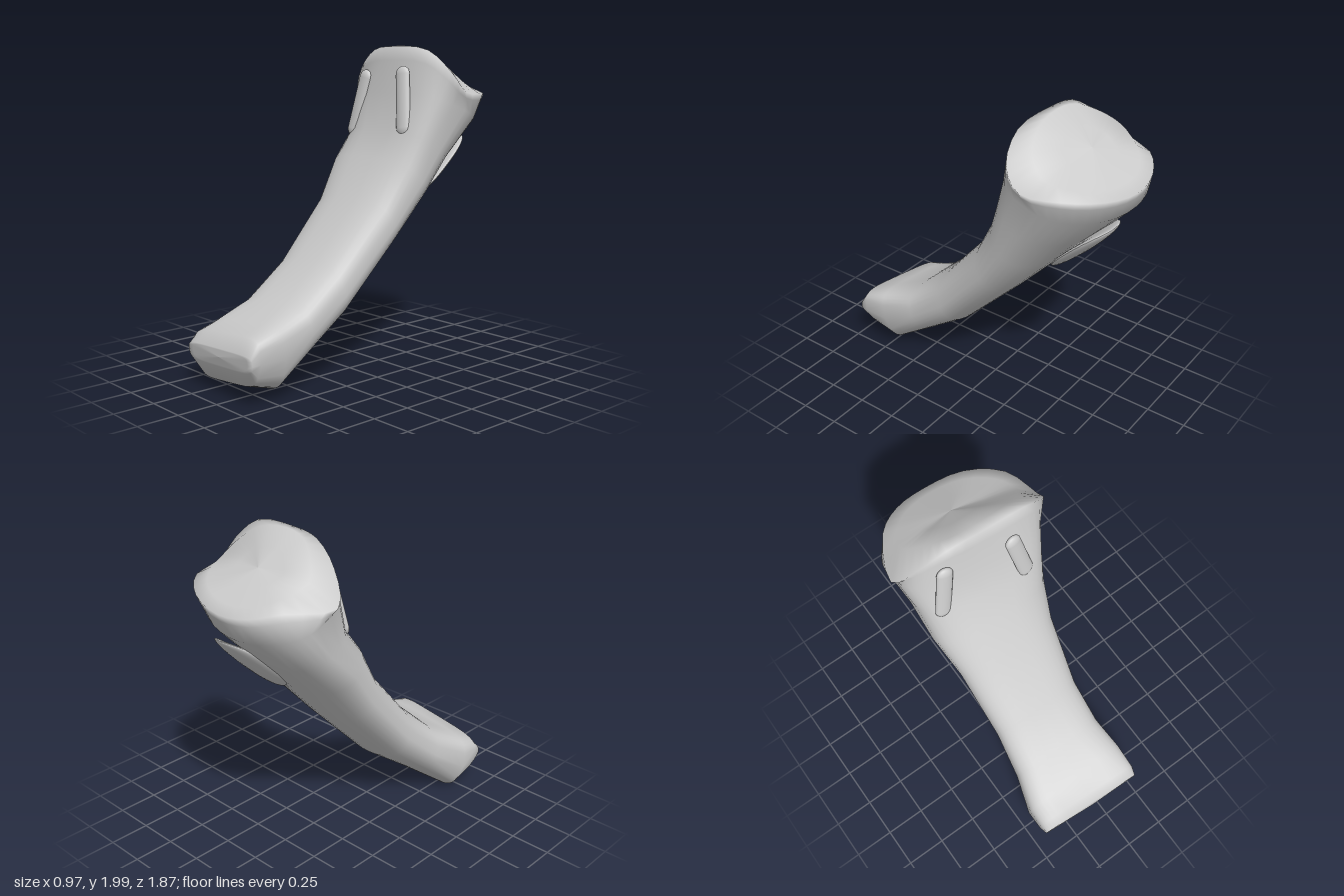
import * as THREE from 'three';

const SIDES = 36;
const material = new THREE.MeshStandardMaterial({ color: 0xcccccc });

// Rounded power used for the superellipse outline
const power = (v, n) => Math.sign(v) * Math.pow(Math.abs(v), 2 / n);

// One cross-section, from its front edge [z, y] to its back edge [z, y]
// taper narrows the back half, roll tilts it in height, yaw pushes one side forward
function ring({ f, b, x, n = 2.6, nb = 1.9, taper = 0, roll = 0, yaw = 0 }) {
  const points = [];
  const cx = (x[0] + x[1]) / 2, hx = (x[1] - x[0]) / 2;
  for (let i = 0; i < SIDES; i++) {
    const t = (i / SIDES) * Math.PI * 2;
    const e = Math.cos(t) >= 0 ? n : nb;
    const a = power(Math.cos(t), e), s = power(Math.sin(t), e);
    const px = cx + s * hx * (1 - taper * Math.max(0, -a));
    points.push(new THREE.Vector3(
      px,
      (f[1] + b[1]) / 2 + a * (f[1] - b[1]) / 2 + roll * px,
      (f[0] + b[0]) / 2 + a * (f[0] - b[0]) / 2 + yaw * px));
  }
  return points;
}

// Closed smooth ring through twelve corners, starting at the front and going to +x
function freeRing(corners) {
  const curve = new THREE.CatmullRomCurve3(corners.map(p => new THREE.Vector3(...p)), true);
  return Array.from({ length: SIDES }, (_, i) => curve.getPoint(i / SIDES));
}

// Copy of a ring drawn in toward a centre
const shrink = (points, center, k) => points.map(p => center.clone().lerp(p, k));

// Skin over a list of rings
function loft(rings) {
  const positions = rings.flat().flatMap(p => p.toArray());
  const index = [];
  for (let i = 0; i < rings.length - 1; i++) {
    for (let j = 0; j < SIDES; j++) {
      const k = (j + 1) % SIDES;
      const a = i * SIDES + j, b = i * SIDES + k;
      index.push(a, b, a + SIDES, b, b + SIDES, a + SIDES);
    }
  }
  const geometry = new THREE.BufferGeometry();
  geometry.setAttribute('position', new THREE.Float32BufferAttribute(positions, 3));
  geometry.setIndex(index);
  geometry.computeVertexNormals();
  return geometry;
}

function addMesh(group, name, geometry) {
  const mesh = new THREE.Mesh(geometry, material);
  mesh.name = name;
  group.add(mesh);
  return mesh;
}

// Turn a mesh so its y axis follows "along" and its z axis faces "normal"
function orient(mesh, along, normal) {
  const y = along.clone().normalize();
  const x = y.clone().cross(normal).normalize();
  const z = x.clone().cross(y);
  mesh.quaternion.setFromRotationMatrix(new THREE.Matrix4().makeBasis(x, y, z));
}

// Bone: blocky rounded lower head, curved shaft and flared upper base
function boneGeometry() {
  const rings = [
    { f: [0.925, 0.30], b: [0.915, 0.19], x: [-0.43, 0.255], n: 5, nb: 5, yaw: 0.06, roll: 0.08, taper: 0.05 },
    { f: [0.875, 0.385], b: [0.86, 0.09], x: [-0.44, 0.265], n: 5, nb: 6, yaw: 0.06, roll: 0.12, taper: 0.2 },
    { f: [0.74, 0.43], b: [0.69, 0.035], x: [-0.44, 0.27], n: 5, nb: 5, roll: 0.13, taper: 0.2 },
    { f: [0.54, 0.52], b: [0.46, 0.18], x: [-0.38, 0.25], n: 3.4, nb: 2.4, taper: 0.1, roll: 0.05 },
    { f: [0.30, 0.73], b: [0.20, 0.36], x: [-0.35, 0.25], n: 2.8, nb: 2 },
    { f: [0.00, 1.08], b: [-0.20, 0.77], x: [-0.365, 0.30] },
    { f: [-0.13, 1.32], b: [-0.45, 1.04], x: [-0.41, 0.35], yaw: 0.03 },
    { f: [-0.235, 1.48], b: [-0.66, 1.27], x: [-0.415, 0.385], n: 3.2, yaw: 0.14 },
    { f: [-0.305, 1.70], b: [-0.88, 1.50], x: [-0.455, 0.44], n: 3.4, nb: 2, yaw: 0.12 },
  ].map(ring);
  // Outer rim of the upper joint face, and the edge of its flatter middle
  const rim = freeRing([
    [0, 1.985, -0.365], [0.30, 1.96, -0.36], [0.455, 1.83, -0.40], [0.485, 1.71, -0.50],
    [0.425, 1.70, -0.72], [0.24, 1.67, -0.88], [0, 1.64, -0.935], [-0.2, 1.66, -0.91],
    [-0.36, 1.70, -0.80], [-0.485, 1.69, -0.53], [-0.36, 1.85, -0.43], [-0.19, 1.965, -0.385],
  ]);
  const face = freeRing([
    [0, 1.99, -0.42], [0.2, 1.96, -0.43], [0.33, 1.87, -0.48], [0.38, 1.78, -0.57],
    [0.34, 1.73, -0.70], [0.2, 1.70, -0.82], [0, 1.68, -0.87], [-0.17, 1.70, -0.84],
    [-0.29, 1.75, -0.75], [-0.35, 1.82, -0.61], [-0.26, 1.91, -0.51], [-0.14, 1.97, -0.44],
  ]);
  const low = new THREE.Vector3(-0.08, 0.245, 0.925);
  const high = new THREE.Vector3(0, 1.82, -0.64);
  const first = rings[0], neck = rings[rings.length - 1];
  const flare = neck.map((p, i) => p.clone().lerp(rim[i], 0.7));
  return loft([
    shrink(first, low, 0), shrink(first, low, 0.85), ...rings, flare, rim,
    face, shrink(face, high, 0.5), shrink(face, high, 0),
  ]);
}

// Oval disc with fullish corners, bent to hug the shaft
function padGeometry() {
  const geometry = new THREE.SphereGeometry(1, 36, 20);
  const p = geometry.attributes.position;
  for (let i = 0; i < p.count; i++) {
    const x = p.getX(i), y = p.getY(i);
    const sum = Math.abs(x) ** 2.5 + Math.abs(y) ** 2.5;
    const full = Math.hypot(x, y) / Math.max(1e-6, sum ** 0.4);
    const px = x * full * 0.16;
    p.setXYZ(i, px, y * full * 0.265, p.getZ(i) * 0.03 - 1.1 * px * px);
  }
  geometry.computeVertexNormals();
  return geometry;
}

export function createModel() {
  const group = new THREE.Group();
  group.name = 'fingerBone';
  addMesh(group, 'bone', boneGeometry());

  // Two narrow raised attachment strips on the front of the base
  const strips = [
    ['rightStrip', [-0.315, 1.42, -0.305], [-0.23, 1.84, -0.36]],
    ['leftStrip', [0.225, 1.45, -0.23], [0.155, 1.865, -0.29]],
  ];
  for (const [name, from, to] of strips) {
    const a = new THREE.Vector3(...from), b = new THREE.Vector3(...to);
    const geometry = new THREE.CapsuleGeometry(0.05, a.distanceTo(b) - 0.1, 8, 20);
    geometry.scale(1, 1, 0.5);
    const strip = addMesh(group, name, geometry);
    strip.position.copy(a).lerp(b, 0.5);
    orient(strip, b.clone().sub(a), new THREE.Vector3(Math.sign(a.x) * 0.1, 0.1, 1));
  }

  // Thin oval pad wrapped over the back of the shaft
  const pad = addMesh(group, 'backPad', padGeometry());
  pad.position.set(0.06, 1.25, -0.67);
  orient(pad, new THREE.Vector3(0.12, 1, -1), new THREE.Vector3(0, -1, -1));
  return group;
}
